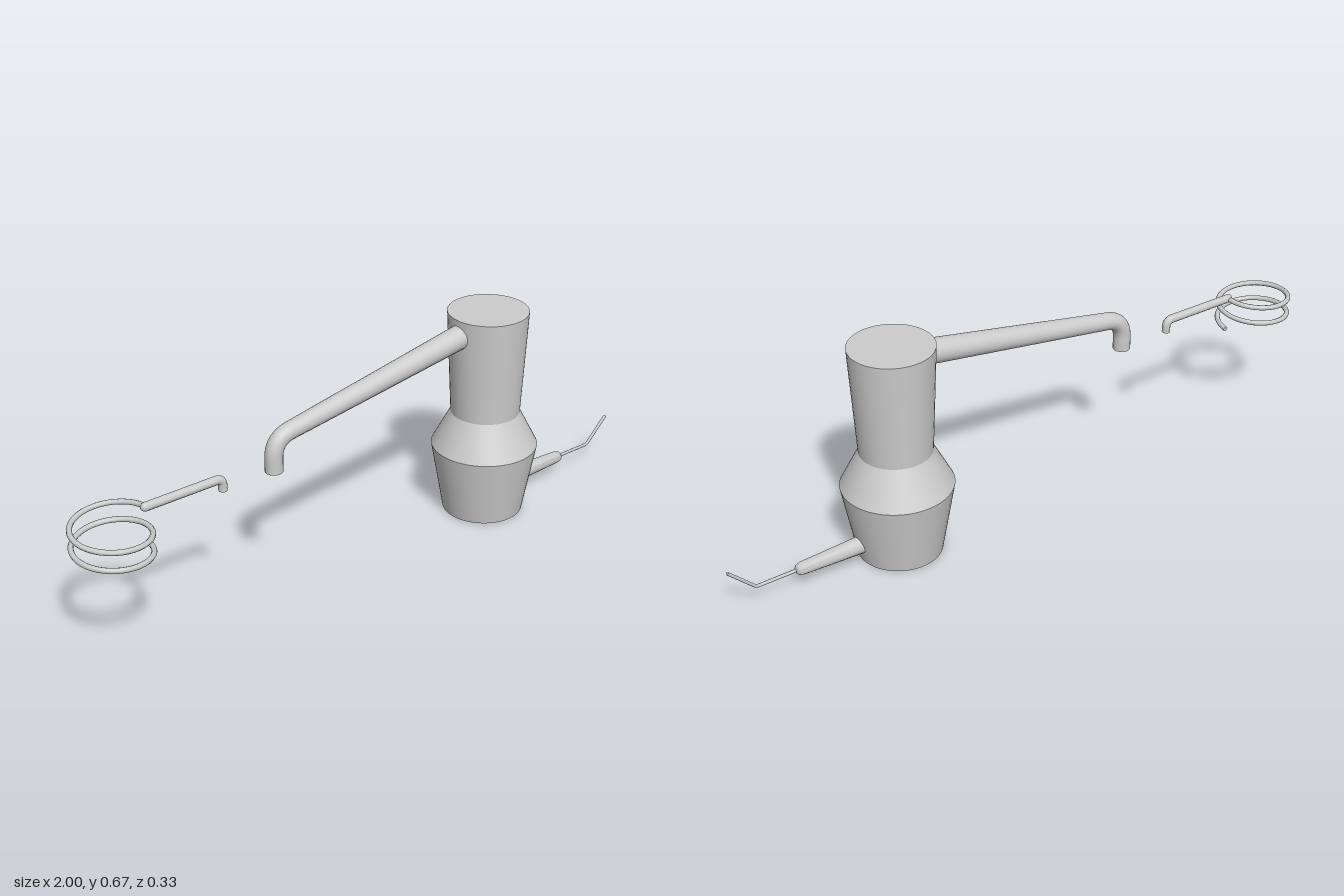
import * as THREE from 'three';
import { toCreasedNormals } from 'three/addons/utils/BufferGeometryUtils.js';

const material = new THREE.MeshStandardMaterial({ color: 0xcccccc });
const v = (x, y, z = 0) => new THREE.Vector3(x, y, z);

function mesh(name, geometry) {
  const m = new THREE.Mesh(geometry, material);
  m.name = name;
  return m;
}

// Straight runs joined by a rounded corner of the given size
function bentPath(a, corner, b, size) {
  const p = corner.clone().add(a.clone().sub(corner).setLength(size));
  const q = corner.clone().add(b.clone().sub(corner).setLength(size));
  const path = new THREE.CurvePath();
  path.add(new THREE.LineCurve3(a, p));
  path.add(new THREE.QuadraticBezierCurve3(p, corner, q));
  path.add(new THREE.LineCurve3(q, b));
  return path;
}

// Tube whose radius follows radiusAt(t), closed with flat discs at both ends
function pipe(name, path, radiusAt, steps, sides) {
  const group = new THREE.Group();
  group.name = name;
  const geometry = new THREE.TubeGeometry(path, steps, 1, sides, false);
  const pos = geometry.attributes.position;
  const p = v(0, 0);
  for (let i = 0; i <= steps; i++) {
    const centre = path.getPointAt(i / steps);
    for (let j = 0; j <= sides; j++) {
      const k = i * (sides + 1) + j;
      p.fromBufferAttribute(pos, k).sub(centre).multiplyScalar(radiusAt(i / steps)).add(centre);
      pos.setXYZ(k, p.x, p.y, p.z);
    }
  }
  group.add(mesh(name + 'Wall', geometry));
  for (const t of [0, 1]) {
    const cap = mesh(name + 'Cap', new THREE.CircleGeometry(radiusAt(t), sides));
    const direction = path.getTangentAt(t).multiplyScalar(t ? 1 : -1);
    cap.position.copy(path.getPointAt(t));
    cap.quaternion.setFromUnitVectors(v(0, 0, 1), direction);
    group.add(cap);
  }
  return group;
}

// Descending coil, starting on its +x side and turning towards -z
class Helix extends THREE.Curve {
  constructor(centre, radius, turns, drop) {
    super();
    Object.assign(this, { centre, radius, turns, drop });
  }
  getPoint(t, target = v(0, 0)) {
    const a = t * this.turns * Math.PI * 2;
    return target.set(
      this.centre.x + Math.cos(a) * this.radius,
      this.centre.y - t * this.drop,
      this.centre.z - Math.sin(a) * this.radius);
  }
}

export function createModel() {
  const model = new THREE.Group();
  const bodyX = 0.45;

  // Waisted vessel with flat ends
  const profile = [[0, 0], [0.125, 0], [0.165, 0.223], [0.107, 0.335], [0.124, 0.667], [0, 0.667]];
  const vessel = mesh('vessel', toCreasedNormals(
    new THREE.LatheGeometry(profile.map(([r, y]) => new THREE.Vector2(r, y)), 48), 0.4));
  vessel.position.x = bodyX;
  model.add(vessel);

  // Tapered arm that turns down at its far end
  const arm = bentPath(v(0.38, 0.619), v(-0.353, 0.495), v(-0.353, 0.395), 0.06);
  model.add(pipe('arm', arm, t => THREE.MathUtils.lerp(0.038, 0.0265, Math.min(t / 0.84, 1)), 80, 20));

  // Separate inlet pipe leading into the coil
  const inlet = bentPath(v(-0.527, 0.395), v(-0.527, 0.433), v(-0.777, 0.433), 0.022);
  model.add(pipe('inletPipe', inlet, () => 0.013, 60, 12));
  const joint = mesh('inletJoint', new THREE.SphereGeometry(0.013, 12, 8));
  joint.position.set(-0.777, 0.433, 0);
  model.add(joint);

  const helix = new Helix(v(-0.884, 0.433, 0), 0.109, 2, 0.109);
  model.add(pipe('coil', helix, () => 0.008, 128, 8));

  // Outlet: tapered round-ended nozzle and a thin bent rod
  const nozzleProfile = [[0, 0], [0.028, 0], [0.019, 0.235], [0.015, 0.248], [0.006, 0.254], [0, 0.254]];
  const nozzle = mesh('nozzle', toCreasedNormals(
    new THREE.LatheGeometry(nozzleProfile.map(([r, y]) => new THREE.Vector2(r, y)), 12), 0.8));
  nozzle.rotation.z = -Math.PI / 2;
  nozzle.position.set(0.538, 0.058, 0);
  model.add(nozzle);

  const rod = bentPath(v(0.78, 0.058), v(0.915, 0.058), v(0.996, 0.138), 0.008);
  model.add(pipe('outletRod', rod, () => 0.005, 48, 8));

  return model;
}
